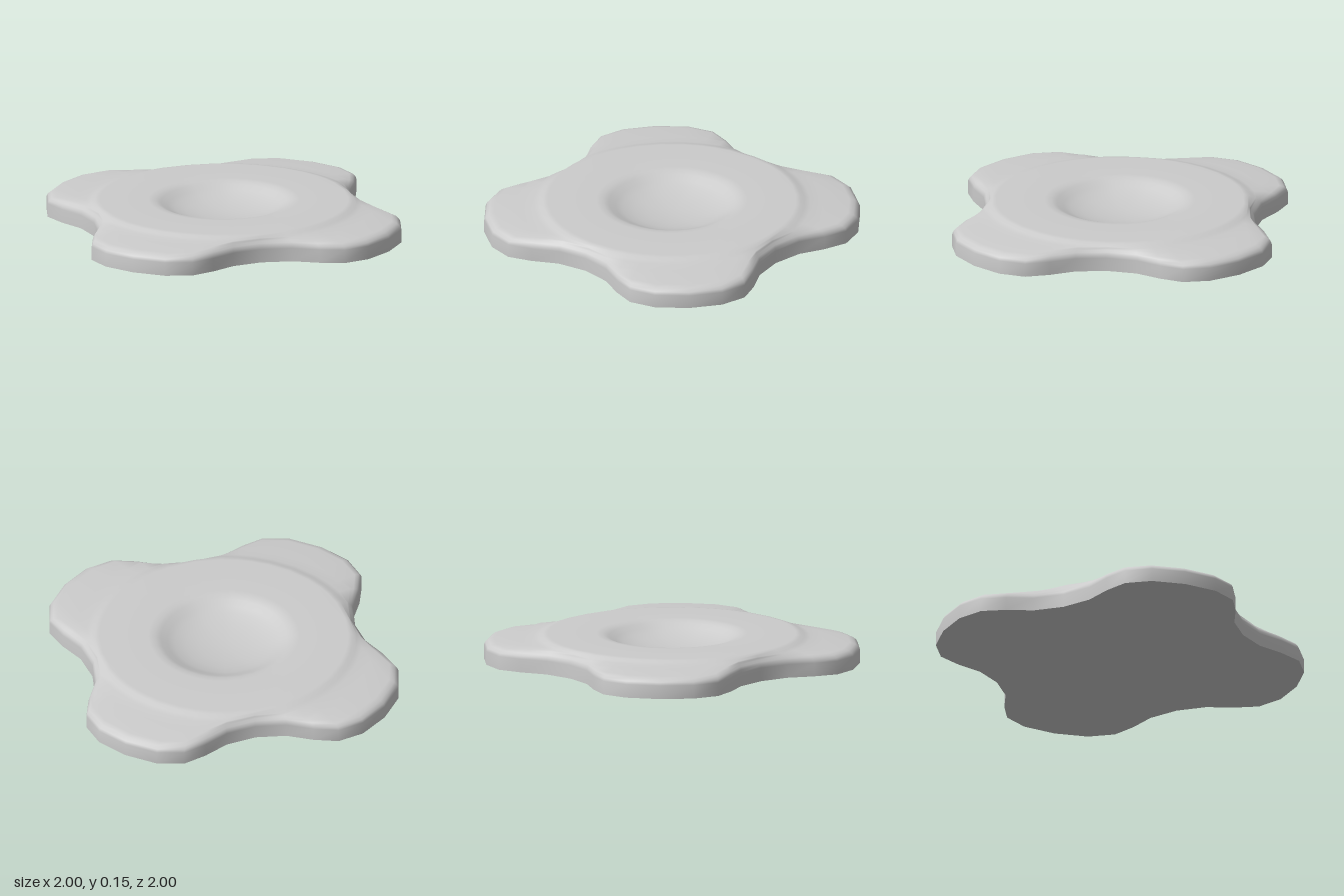
import * as THREE from 'three';

// Four-lobed outline: one eighth as [x, z], mirrored and turned to a full loop
function outline() {
  const eighth = [[1, 0], [0.975, 0.18], [0.9, 0.305], [0.78, 0.365], [0.64, 0.41], [0.507, 0.507]];
  const polar = eighth.map(([x, z]) => ({ a: Math.atan2(z, x), r: Math.hypot(x, z) }));
  const mirrored = polar.slice(1, -1).reverse().map(({ a, r }) => ({ a: Math.PI / 2 - a, r }));
  const loop = [];
  for (let q = 0; q < 4; q++) {
    for (const { a, r } of [...polar, ...mirrored]) loop.push({ a: a + q * Math.PI / 2, r });
  }
  return loop;
}

// Radius and height of each ring, from the foot of the wall to the dish centre
function rings() {
  const inset = (R, k) => R - k * (0.35 + 0.65 * (R - 0.717) / 0.283);
  const lobed = [[0, 0], [0, 0.072], [0.008, 0.088], [0.025, 0.102], [0.055, 0.111]]
    .map(([k, y]) => ({ radius: (R) => inset(R, k), y }));
  const slope = [[0.8, 0.121], [0.735, 0.127], [0.705, 0.134], [0.685, 0.143], [0.66, 0.147]]
    .map(([r, y], i) => ({ radius: (R) => Math.min(r, inset(R, 0.065 + i * 0.012)), y }));
  const dish = [[0.5, 0.147], [0.4, 0.147], [0.365, 0.144], [0.335, 0.133], [0.3, 0.115],
    [0.26, 0.099], [0.2, 0.084], [0.13, 0.074], [0.06, 0.069]]
    .map(([r, y]) => ({ radius: () => r, y }));
  return [...lobed, ...slope, ...dish];
}

function bodyGeometry(loop) {
  const n = loop.length;
  const levels = rings();
  const pos = [], index = [];
  for (const { radius, y } of levels) {
    for (const { a, r } of loop) pos.push(radius(r) * Math.cos(a), y, radius(r) * Math.sin(a));
  }
  for (let k = 0; k < levels.length - 1; k++) {
    for (let i = 0; i < n; i++) {
      const j = (i + 1) % n, lo = k * n, hi = lo + n;
      index.push(lo + i, hi + i, lo + j, hi + i, hi + j, lo + j);
    }
  }
  // close the dish centre
  const last = (levels.length - 1) * n;
  pos.push(0, 0.068, 0);
  for (let i = 0; i < n; i++) index.push(last + i, levels.length * n, last + (i + 1) % n);
  const g = new THREE.BufferGeometry();
  g.setAttribute('position', new THREE.Float32BufferAttribute(pos, 3));
  g.setIndex(index);
  g.computeVertexNormals();
  return g;
}

export function createModel() {
  const group = new THREE.Group();
  group.name = 'lobedKnob';
  const material = new THREE.MeshStandardMaterial({ color: 0xcccccc });
  const loop = outline();

  // rounded lobes, raised disc and sunken dish
  const body = new THREE.Mesh(bodyGeometry(loop), material);
  body.name = 'knobBody';
  group.add(body);

  // flat underside with a sharp edge
  const shape = new THREE.Shape(loop.map(({ a, r }) => new THREE.Vector2(r * Math.cos(a), r * Math.sin(a))));
  const base = new THREE.Mesh(new THREE.ShapeGeometry(shape).rotateX(Math.PI / 2), material);
  base.name = 'underside';
  group.add(base);

  return group;
}
